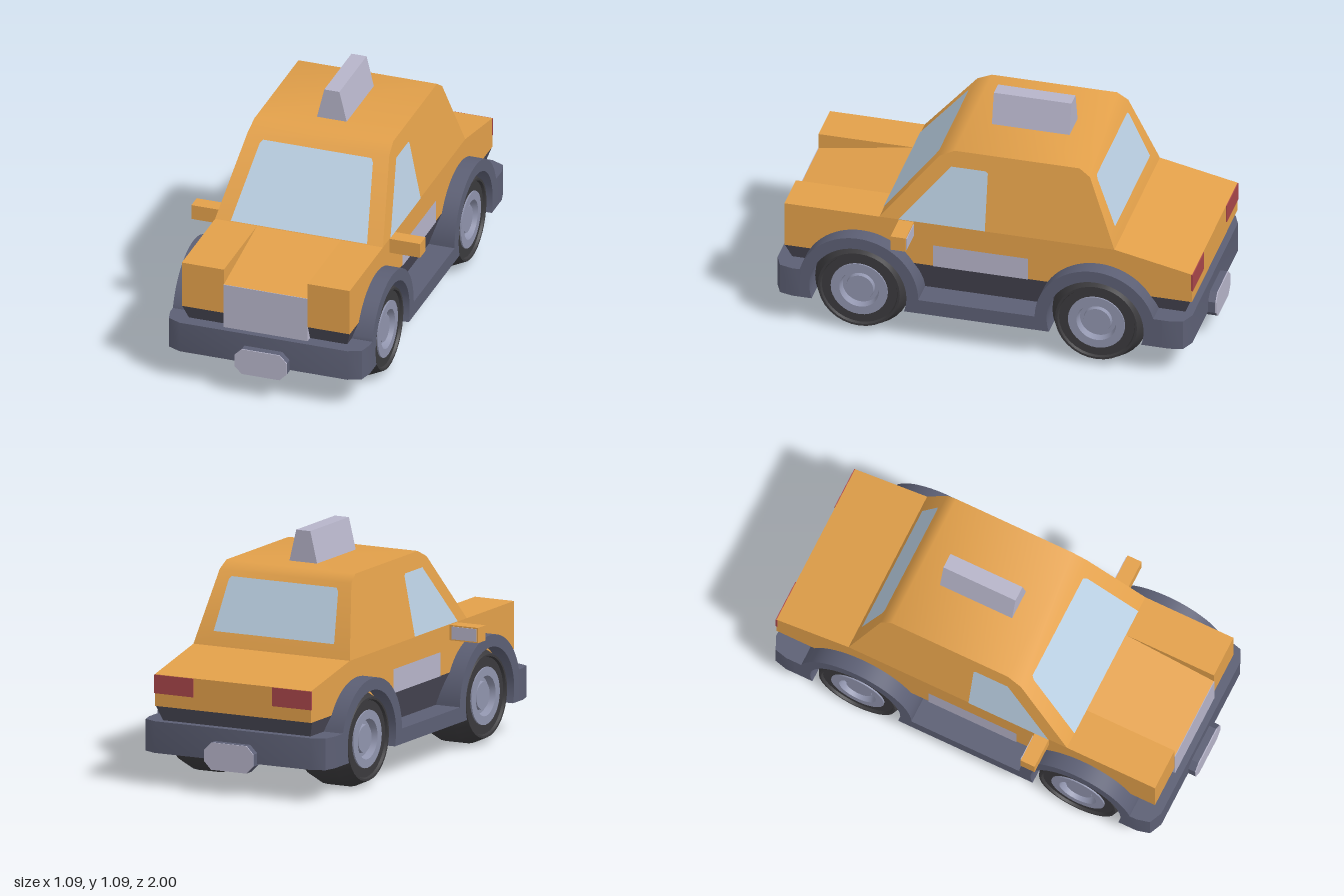
import * as THREE from 'three';
import { toCreasedNormals } from 'three/addons/utils/BufferGeometryUtils.js';

const mat = (name, color) => {
  const m = new THREE.MeshStandardMaterial({ color });
  m.name = name;
  return m;
};

export function createModel() {
  const paint = mat('orange paint', 0xe2a04a);
  const glass = mat('window glass', 0xbacfe2);
  const pale = mat('pale grey', 0xb6b4c9);
  const slate = mat('slate trim', 0x5c5f74);
  const dark = mat('dark skirt', 0x4d4c5a);
  const rubber = mat('tyre black', 0x3b3a3d);
  const metal = mat('rim metal', 0x9094ad);
  const red = mat('tail light red', 0xa8464a);

  const car = new THREE.Group();
  car.name = 'car';
  const add = (name, geo, material, parent = car) => {
    const mesh = new THREE.Mesh(geo, material);
    mesh.name = name;
    parent.add(mesh);
    return mesh;
  };
  const box = (name, material, w, h, d, x, y, z) =>
    add(name, new THREE.BoxGeometry(w, h, d).translate(x, y, z), material);
  const shapeOf = pts => new THREE.Shape(pts.map(p => new THREE.Vector2(...p)));

  // Extrudes a side profile drawn in (z, y) across x0..x1
  const across = (shape, x0, x1) =>
    new THREE.ExtrudeGeometry(shape, { depth: x1 - x0, bevelEnabled: false, curveSegments: 24 })
      .rotateY(-Math.PI / 2).translate(x1, 0, 0);

  // Thin convex panel from corners, counter-clockwise from outside, lifted off the surface
  const panel = (name, material, corners, lift = 0.004) => {
    const v = corners.map(c => new THREE.Vector3(...c));
    const n = new THREE.Triangle(v[0], v[1], v[2]).getNormal(new THREE.Vector3());
    v.forEach(p => p.addScaledVector(n, lift));
    const pts = [];
    for (let i = 1; i < v.length - 1; i++) pts.push(v[0], v[i], v[i + 1]);
    const geo = new THREE.BufferGeometry().setFromPoints(pts);
    geo.computeVertexNormals();
    return add(name, geo, material);
  };

  // Lower body: flat wings beside a sloping bonnet, with a sloping boot lid
  const lower = frontTop => shapeOf([
    [0.93, 0.365], [0.93, frontTop], [0.49, 0.585], [-0.6, 0.585], [-0.96, 0.51], [-0.96, 0.365],
  ]);
  add('bonnetAndBoot', across(lower(0.51), -0.2, 0.2), paint);
  add('leftWing', across(lower(0.585), 0.2, 0.4), paint);
  add('rightWing', across(lower(0.585), -0.4, -0.2), paint);

  // Cabin, narrowing towards the roof
  const halfWidth = y => 0.4 - (y - 0.585) * 0.07 / 0.36;
  const cabin = across(shapeOf([
    [0.49, 0.585], [0.23, 0.91], [0.16, 0.945], [-0.42, 0.945], [-0.47, 0.91], [-0.6, 0.585],
  ]), -1, 1);
  const pos = cabin.attributes.position;
  for (let i = 0; i < pos.count; i++) pos.setX(i, pos.getX(i) * halfWidth(pos.getY(i)));
  add('cabin', toCreasedNormals(cabin, 0.75), paint);

  // Windows
  const frontZ = y => 0.49 - (y - 0.585) * 0.8;
  const rearZ = y => -0.6 + (y - 0.585) * 0.4;
  panel('windscreen', glass, [
    [-0.325, 0.587], [0.325, 0.587], [0.27, 0.875], [0.258, 0.89], [-0.258, 0.89], [-0.27, 0.875],
  ].map(([x, y]) => [x, y, frontZ(y)]));
  panel('rearWindow', glass, [
    [0.308, 0.647], [-0.308, 0.647], [-0.28, 0.87], [-0.268, 0.885], [0.268, 0.885], [0.28, 0.87],
  ].map(([x, y]) => [x, y, rearZ(y)]));

  for (const s of [1, -1]) {
    const side = s > 0 ? 'left' : 'right';
    const sidePanel = (name, material, zy) => {
      const corners = zy.map(([z, y]) => [s * halfWidth(Math.max(y, 0.585)), y, z]);
      return panel(name, material, s > 0 ? corners : corners.reverse());
    };
    sidePanel(side + 'Window', glass,
      [[0.4, 0.587], [0, 0.587], [0, 0.86], [-0.0 + 0.01, 0.87], [0.17, 0.87]]);
    sidePanel(side + 'DoorPanel', pale, [[0.24, 0.365], [-0.2, 0.365], [-0.2, 0.475], [0.24, 0.475]]);

    // Door mirror with its glass facing back
    box(side + 'Mirror', paint, 0.155, 0.07, 0.07, s * 0.4675, 0.548, 0.365);
    box(side + 'MirrorGlass', pale, 0.125, 0.058, 0.006, s * 0.475, 0.548, 0.329);

    // Tail light
    box(side + 'TailLight', red, 0.2, 0.085, 0.008, s * 0.301, 0.466, -0.96);
  }

  // Grille
  box('grille', pale, 0.4, 0.22, 0.06, 0, 0.4, 0.903);

  // Skirt under the body, tapering downwards
  const skirt = new THREE.BoxGeometry(0.8, 0.145, 1.88);
  const sp = skirt.attributes.position;
  for (let i = 0; i < sp.count; i++) {
    if (sp.getY(i) < 0) sp.setXYZ(i, sp.getX(i) * 0.88, sp.getY(i), sp.getZ(i) * 0.938);
  }
  skirt.computeVertexNormals();
  add('skirt', skirt.translate(0, 0.2925, -0.012), dark);

  // Chassis with wheel arches and sills
  const axles = [0.57, -0.53], axleY = 0.22, a = 0.271, b = 0.316;
  const chassis = new THREE.Shape();
  chassis.moveTo(0.84, 0.15);
  chassis.lineTo(0.84, 0.295);
  chassis.absarc(axles[0], axleY, 0.28, a, Math.PI, false);
  chassis.absarc(axles[1], axleY, 0.28, 0, Math.PI - a, false);
  chassis.lineTo(-0.84, 0.295);
  chassis.lineTo(-0.84, 0.15);
  chassis.absarc(axles[1], axleY, 0.225, Math.PI + b, -b, true);
  chassis.absarc(axles[0], axleY, 0.225, Math.PI + b, -b, true);
  chassis.closePath();
  add('chassis', toCreasedNormals(across(chassis, -0.475, 0.475), 0.5), slate);

  // Bumpers with rounded corners, and the plates on them
  const bumperShape = shapeOf([
    [-0.475, 0.81], [0.475, 0.81], [0.475, 0.875], [0.46, 0.935], [0.4, 0.962],
    [-0.4, 0.962], [-0.46, 0.935], [-0.475, 0.875],
  ]);
  const plateShape = shapeOf([
    [-0.09, 0.11], [0.09, 0.11], [0.125, 0.145], [0.125, 0.2],
    [0.09, 0.235], [-0.09, 0.235], [-0.125, 0.2], [-0.125, 0.145],
  ]);
  for (const end of ['front', 'rear']) {
    const group = new THREE.Group();
    group.name = end + 'Bumper';
    if (end === 'rear') group.rotation.y = Math.PI;
    car.add(group);
    const bar = new THREE.ExtrudeGeometry(bumperShape, { depth: 0.145, bevelEnabled: false })
      .rotateX(Math.PI / 2).translate(0, 0.295, 0);
    add('bumperBar', toCreasedNormals(bar, 0.9), slate, group);
    const slab = (depth, z) =>
      new THREE.ExtrudeGeometry(plateShape, { depth, bevelEnabled: false }).translate(0, 0, z);
    add('plateBracket', slab(0.045, 0.95), slate, group);
    add('plateFace', slab(0.005, 0.995), pale, group);
  }

  // Underfloor: centre channel and a strip between each pair of wheels
  box('centreChannel', rubber, 0.2, 0.012, 1.1, 0, 0.152, 0.02);
  for (const z of axles) box('axleStrip', rubber, 0.42, 0.05, 0.42, 0, 0.185, z);

  // Wheels
  const lathe = pts => toCreasedNormals(
    new THREE.LatheGeometry(pts.map(p => new THREE.Vector2(...p)), 32), 0.45);
  const tyreGeo = lathe([
    [0, -0.127], [0.19, -0.127], [0.22, -0.06], [0.22, 0.06], [0.19, 0.127],
    [0.18, 0.127], [0.175, 0.115], [0.13, 0.115], [0.13, 0.08],
  ]);
  const rimGeo = lathe([
    [0.132, 0.08], [0.132, 0.122], [0.092, 0.122], [0.084, 0.09],
    [0.066, 0.09], [0.062, 0.108], [0, 0.108],
  ]);
  for (const z of axles) for (const s of [1, -1]) {
    const wheel = new THREE.Group();
    wheel.name = (z > 0 ? 'front' : 'rear') + (s > 0 ? 'Left' : 'Right') + 'Wheel';
    wheel.position.set(s * 0.331, axleY, z);
    wheel.rotation.z = -s * Math.PI / 2;
    add('tyre', tyreGeo, rubber, wheel);
    add('rim', rimGeo, metal, wheel);
    car.add(wheel);
  }

  // Roof sign
  const sign = new THREE.ExtrudeGeometry(
    shapeOf([[-0.072, 0.94], [0.072, 0.94], [0.036, 1.09], [-0.036, 1.09]]),
    { depth: 0.36, bevelEnabled: false }).translate(0, 0, -0.305);
  add('roofSign', sign, pale);

  return car;
}
